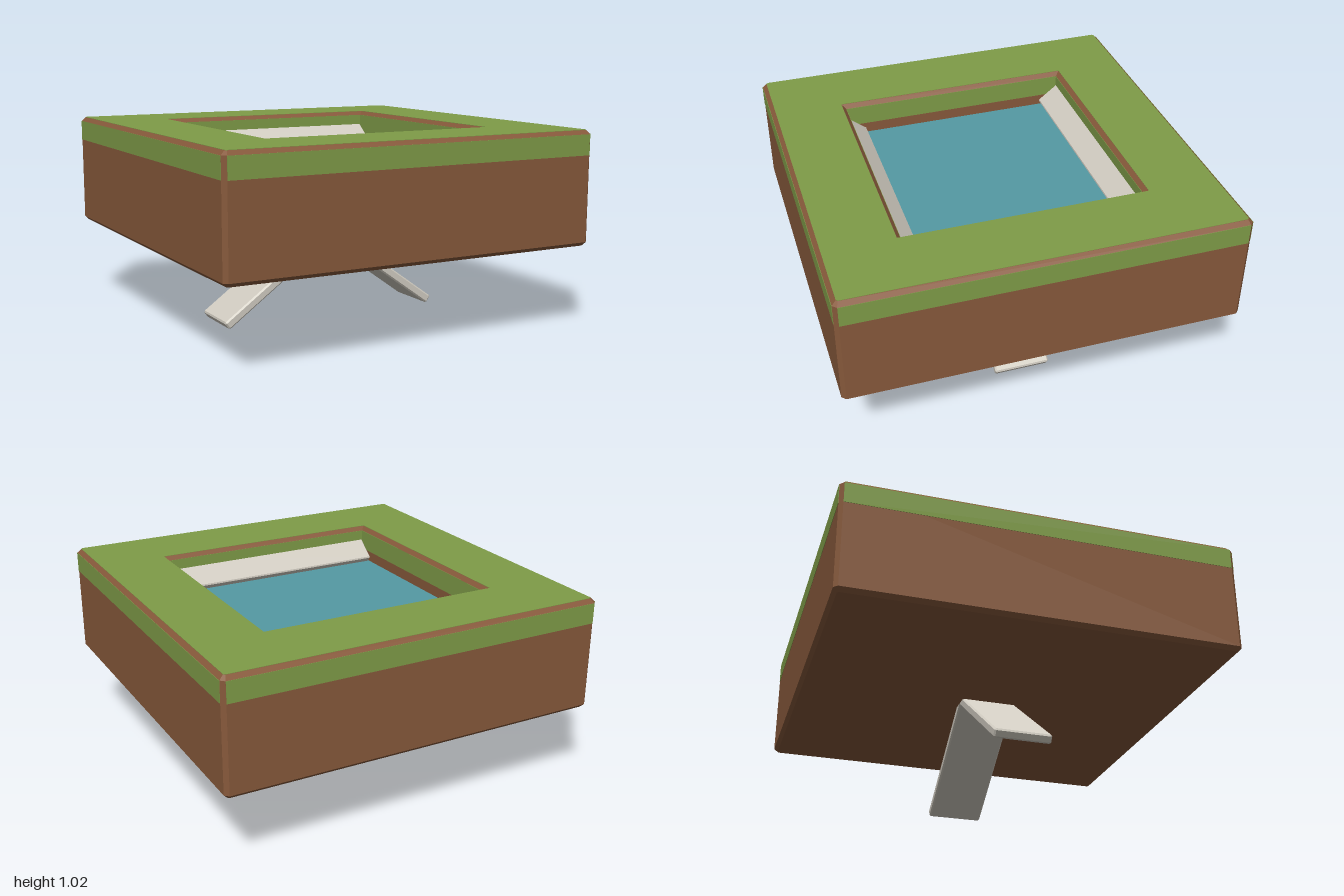
import * as THREE from 'three';
import { ConvexGeometry } from 'three/addons/geometries/ConvexGeometry.js';

const mat = (color) => new THREE.MeshStandardMaterial({ color, flatShading: true });

// Box with every edge cut at 45 degrees
function chamferedBox(w, h, d, c) {
  const pts = [];
  for (const x of [-1, 1]) for (const y of [-1, 1]) for (const z of [-1, 1]) {
    for (const k of [0, 1, 2]) {
      pts.push(new THREE.Vector3(
        x * (w / 2 - (k === 0 ? 0 : c)),
        y * (h / 2 - (k === 1 ? 0 : c)),
        z * (d / 2 - (k === 2 ? 0 : c))));
    }
  }
  return new ConvexGeometry(pts);
}

// Square ring with cut outer corners
function ringShape(outer, cut, inner) {
  const a = outer, b = outer - cut, i = inner;
  const v = (list) => list.map(([x, y]) => new THREE.Vector2(x, y));
  const shape = new THREE.Shape(v([[a, -b], [a, b], [b, a], [-b, a], [-a, b], [-a, -b], [-b, -a], [b, -a]]));
  shape.holes.push(new THREE.Path(v([[-i, -i], [-i, i], [i, i], [i, -i]])));
  return shape;
}

export function createModel() {
  const group = new THREE.Group();
  const soil = mat(0x87593b), grass = mat(0x7f9c48);
  const water = mat(0x549aa4), stone = mat(0xd2cdc2);

  const add = (name, geometry, material, x = 0, y = 0, z = 0, parent = group) => {
    const mesh = new THREE.Mesh(geometry, material);
    mesh.name = name;
    mesh.position.set(x, y, z);
    parent.add(mesh);
    return mesh;
  };

  // Soil block with a square pit, all rims chamfered
  const bevel = 0.02;
  const wall = new THREE.ExtrudeGeometry(ringShape(0.98, 0.008, 0.625), {
    depth: 0.585 - 2 * bevel, bevelEnabled: true,
    bevelThickness: bevel, bevelSize: bevel, bevelSegments: 1,
  });
  wall.rotateX(-Math.PI / 2);
  add('soilWalls', wall, soil, 0, 0.44 + bevel, 0);
  add('pitFloor', new THREE.BoxGeometry(1.29, 0.3, 1.29), soil, 0, 0.59, 0);

  // Turf on top
  const turf = new THREE.ExtrudeGeometry(ringShape(0.979, 0.008, 0.626), { depth: 0.006, bevelEnabled: false });
  turf.rotateX(-Math.PI / 2);
  add('grassTop', turf, grass, 0, 1.021, 0);

  // Turf band around the outside and the inside of the walls
  for (let i = 0; i < 4; i++) {
    const side = new THREE.Group();
    side.name = 'grassSide';
    side.rotation.y = i * Math.PI / 2;
    add('outerGrass', new THREE.BoxGeometry(1.96, 0.105, 0.006), grass, 0, 0.9525, 0.999, side);
    add('innerGrass', new THREE.BoxGeometry(1.206, 0.105, 0.006), grass, 0, 0.9525, 0.606, side);
    group.add(side);
  }

  // Pool
  add('water', new THREE.BoxGeometry(1.22, 0.1, 1.22), water, 0, 0.793, 0);

  for (const s of [-1, 1]) {
    // Sloping bank slabs along the front and back of the pool
    const bank = add('bankSlab', chamferedBox(1.208, 0.05, 0.2, 0.006), stone, 0, 0.912, s * 0.5945);
    bank.rotation.x = -s * 0.66;

    // Splayed flat legs meeting under the middle
    const leg = add('leg', chamferedBox(0.755, 0.046, 0.29, 0.008), stone, s * 0.3065, 0.241, 0);
    leg.rotation.z = -s * 0.62;
  }
  return group;
}
